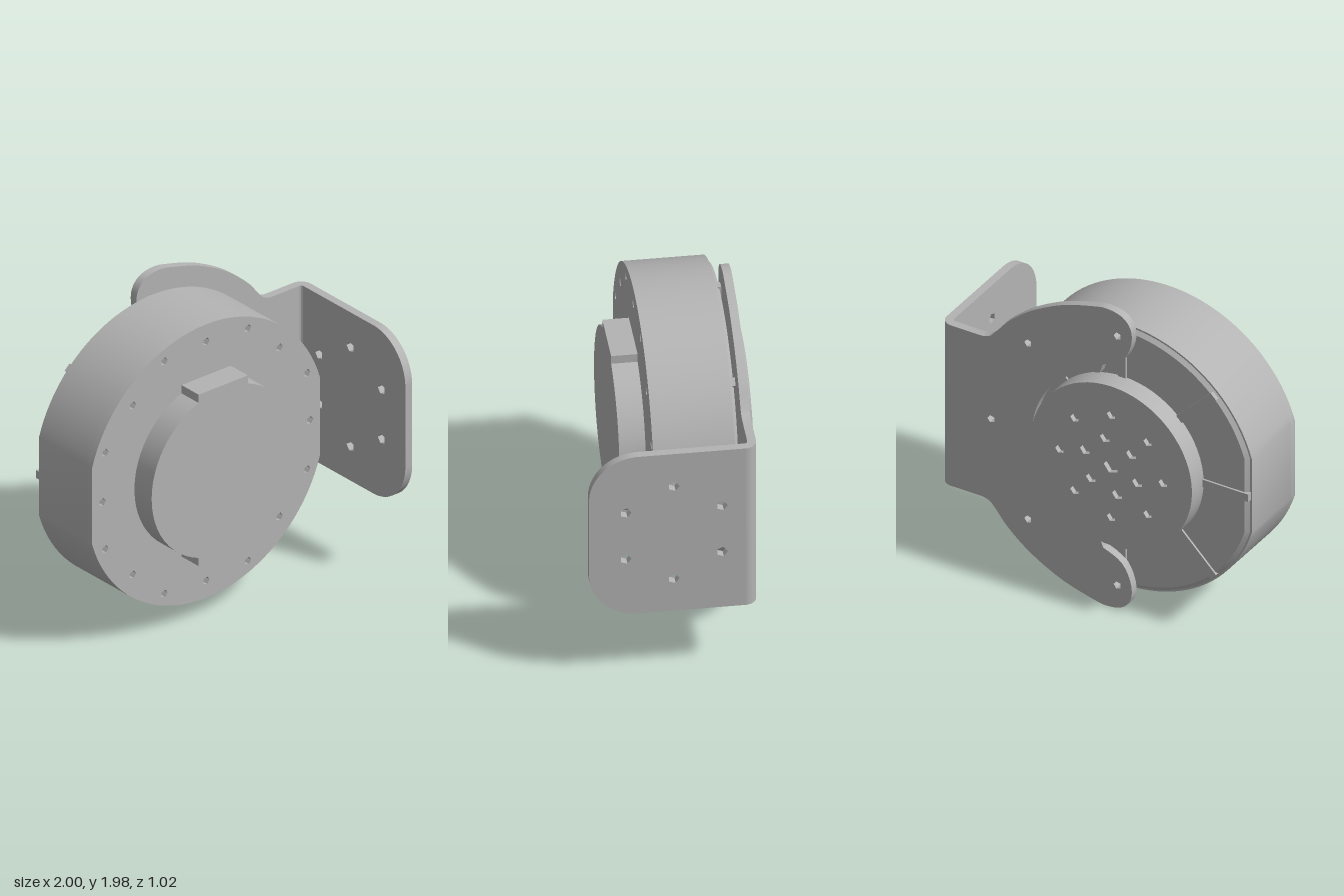
import * as THREE from 'three';
import { toCreasedNormals } from 'three/addons/utils/BufferGeometryUtils.js';

const CX = -0.165, CY = 0.995; // axis of the round housing

export function createModel() {
  const model = new THREE.Group();
  const grey = new THREE.MeshStandardMaterial({ color: 0xb3b3b3 });
  grey.name = 'plain grey';

  function add(name, geometry, x = 0, y = 0, z = 0) {
    const mesh = new THREE.Mesh(geometry, grey);
    mesh.name = name;
    mesh.position.set(x, y, z);
    model.add(mesh);
    return mesh;
  }
  const extrude = (shape, depth, options = {}) => toCreasedNormals(
    new THREE.ExtrudeGeometry(shape, { depth, bevelEnabled: false, curveSegments: 16, ...options }), 0.5);
  const polar = (r, a) => new THREE.Vector2(r * Math.cos(a), r * Math.sin(a));
  function hole(shape, x, y, r) {
    const path = new THREE.Path();
    for (let i = 0; i < 5; i++) {
      const p = polar(r, i * Math.PI * 2 / 5);
      if (i) path.lineTo(x + p.x, y + p.y); else path.moveTo(x + p.x, y + p.y);
    }
    path.closePath();
    shape.holes.push(path);
  }
  function holeRing(shape, count, ringRadius, r, start = 0) {
    for (let i = 0; i < count; i++) {
      const p = polar(ringRadius, start + i * Math.PI * 2 / count);
      hole(shape, p.x, p.y, r);
    }
  }

  // Round housing with a flat on each side
  function housingShape(r, flat) {
    const points = [];
    const a = Math.acos(flat / r);
    for (const turn of [0, Math.PI]) {
      for (let i = 0; i <= 40; i++) points.push(polar(r, turn + a + (Math.PI - 2 * a) * i / 40));
    }
    return new THREE.Shape(points);
  }
  add('housing', extrude(housingShape(0.87, 0.835), 0.425), CX, CY, -0.365);
  const face = housingShape(0.87, 0.835);
  holeRing(face, 8, 0.76, 0.025);
  holeRing(face, 8, 0.80, 0.025, Math.PI / 8);
  add('housingFrontFace', extrude(face, 0.04), CX, CY, 0.06);

  // Chamfered rear cover with radial ribs
  add('rearCover', extrude(housingShape(0.835, 0.80), 0.05,
    { bevelEnabled: true, bevelThickness: 0.025, bevelSize: 0.03, bevelSegments: 1 }), CX, CY, -0.36);
  for (let i = 0; i < 8; i++) {
    const a = i * Math.PI / 4;
    const length = i % 4 === 0 ? 0.36 : 0.38;
    const p = polar(0.47 + length / 2, a);
    add('rearRib', new THREE.BoxGeometry(length, 0.05, 0.05), CX + p.x, CY + p.y, -0.372).rotation.z = a;
  }

  // Front cap with a tab at top and bottom
  const capPoints = [];
  for (const turn of [0, Math.PI]) {
    const s = turn ? -1 : 1;
    for (let i = 0; i <= 24; i++) {
      capPoints.push(polar(0.525, turn - 1.22 + 2.44 * i / 24));
    }
    capPoints.push(new THREE.Vector2(0.18 * s, 0.545 * s), new THREE.Vector2(-0.18 * s, 0.545 * s));
  }
  add('frontCap', extrude(new THREE.Shape(capPoints), 0.16), CX, CY, 0.09);

  // Output disc at the rear, with shallow screw holes
  const discShape = () => new THREE.Shape().absarc(0, 0, 0.53, 0, Math.PI * 2);
  const discFace = discShape();
  hole(discFace, 0, 0, 0.05);
  holeRing(discFace, 6, 0.18, 0.035, 0.3);
  holeRing(discFace, 8, 0.34, 0.03);
  add('outputDisc', extrude(discShape(), 0.11, { curveSegments: 32 }), CX, CY, -0.48);
  add('outputDiscFace', extrude(discFace, 0.03, { curveSegments: 32 }), CX, CY, -0.51);

  // Bracket plate: a C-shaped outline, mirrored about the housing axis
  const outer = new THREE.SplineCurve([
    [0.72, 0.535], [0.675, 0.55], [0.635, 0.59], [0.55, 0.69], [0.4, 0.81], [0.2, 0.915], [0, 0.975],
    [-0.1, 0.99], [-0.2, 0.965], [-0.255, 0.89], [-0.25, 0.78], [-0.19, 0.67], [-0.07, 0.61],
  ].map(([x, y]) => new THREE.Vector2(x, y))).getPoints(60);
  const upper = [new THREE.Vector2(0.93, 0.535), ...outer];
  for (let i = 0; i <= 20; i++) {
    const p = polar(0.56, 1.36 * (1 - i / 20));
    upper.push(new THREE.Vector2(CX + p.x, p.y));
  }
  const lower = upper.slice(0, -1).reverse().map(p => new THREE.Vector2(p.x, -p.y));
  const plate = new THREE.Shape([...upper, ...lower]);
  for (let i = -2; i <= 2; i++) {
    const p = polar(0.83, i * Math.PI / 4);
    hole(plate, CX + p.x, p.y, 0.025);
  }
  add('bracketPlate', extrude(plate, 0.05), 0, CY, -0.445);

  // Rounded bend joining the plate and the flange
  const bend = new THREE.Shape();
  bend.absarc(0.93, 0.375, 0.07, 0, Math.PI / 2, false);
  bend.absarc(0.93, 0.375, 0.02, Math.PI / 2, 0, true);
  add('bracketBend', extrude(bend, 1.07).rotateX(-Math.PI / 2), 0, CY - 0.535, 0);

  // Side flange with rounded front corners and six through holes
  const flange = new THREE.Shape();
  flange.moveTo(0.375, -0.535);
  flange.lineTo(0.375, 0.535);
  flange.lineTo(-0.23, 0.535);
  flange.absarc(-0.23, 0.255, 0.28, Math.PI / 2, Math.PI, false);
  flange.absarc(-0.23, -0.255, 0.28, Math.PI, Math.PI * 1.5, false);
  for (let i = 0; i < 6; i++) {
    const p = polar(0.315, Math.PI / 6 + i * Math.PI / 3);
    hole(flange, p.x - 0.03, p.y, 0.033);
  }
  add('bracketFlange', extrude(flange, 0.05).rotateY(Math.PI / 2), 0.95, CY, 0);

  return model;
}
